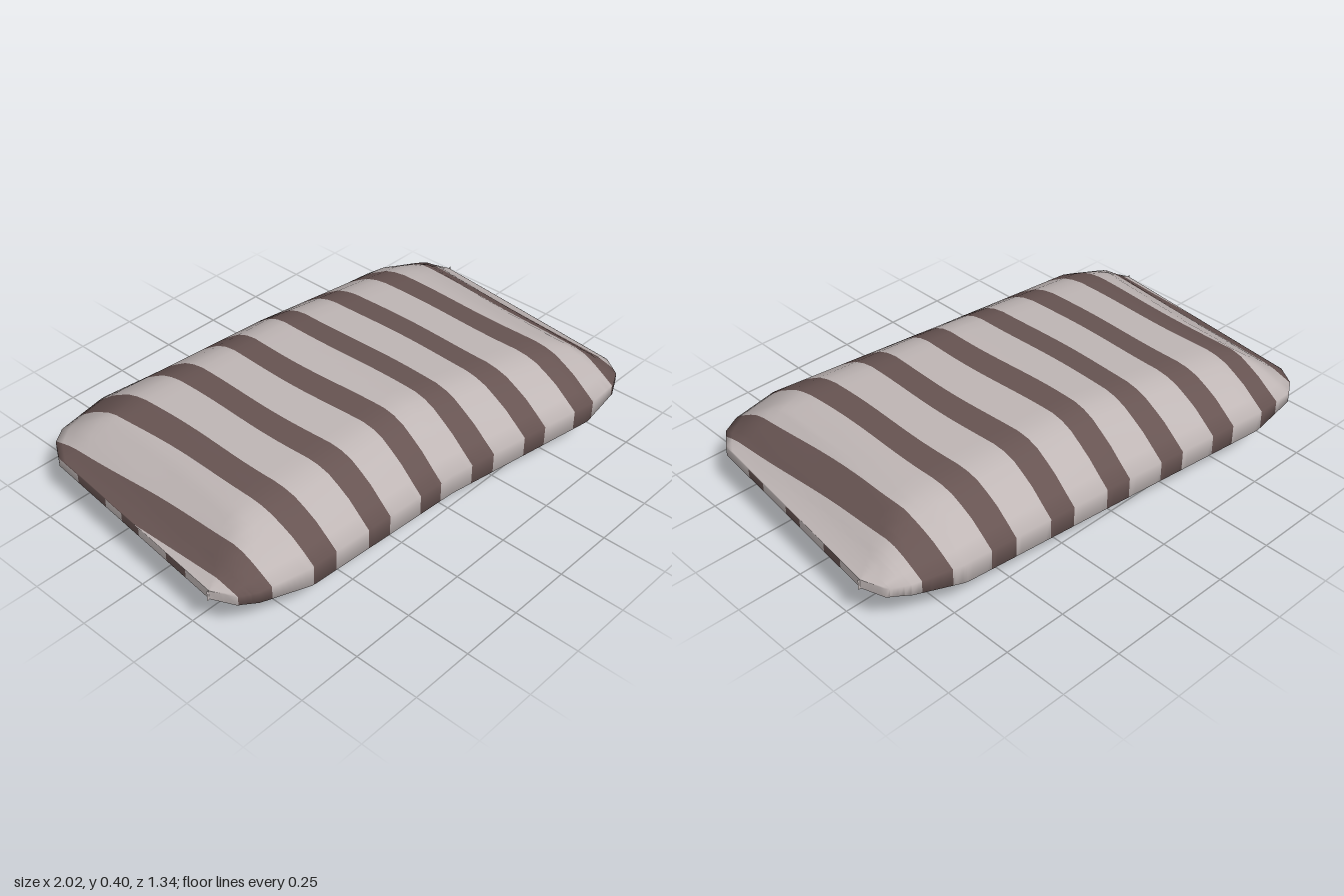
import * as THREE from 'three';

// Piecewise linear lookup through [x, y] points
function lookup(points, x) {
  for (let i = 1; i < points.length; i++) {
    const [x0, y0] = points[i - 1], [x1, y1] = points[i];
    if (x <= x1) return y0 + (y1 - y0) * Math.max(0, (x - x0) / (x1 - x0));
  }
  return points[points.length - 1][1];
}

// Plan outline of the cushion as [x, z], split at its two extreme corners
const FRONT = [[-1, 0.345], [-0.96, 0.43], [-0.9, 0.47], [-0.72, 0.525], [-0.06, 0.56],
  [0.6, 0.665], [0.78, 0.645], [0.85, 0.61], [0.905, 0.53], [1, -0.34]];
const BACK = [[-1, 0.345], [-0.91, -0.53], [-0.86, -0.61], [-0.8, -0.65], [-0.6, -0.67],
  [0.06, -0.6], [0.73, -0.535], [0.9, -0.475], [0.97, -0.43], [1, -0.34]];
const OUTLINE = [...FRONT, ...BACK.slice(1, -1).reverse()];

// Padding: rise by distance from the seam, fullness along the length, seam half height
const RISE = [[0, 0], [0.1, 0.55], [0.2, 0.93], [0.27, 1]];
const FULLNESS = [[0, 0.225], [0.65, 0.18], [0.82, 0.145], [0.965, 0.1]];
const SEAM = [[0, 0.041], [0.65, 0.04], [0.9, 0.018]];
const MID_Y = 0.185, ROWS = 26;

// Stripe layout: across the length, and as dashes on the two end seams
const STRIPE = { first: -0.957, pitch: 0.2465, width: 0.1, count: 8 };
const DASHES = [[-0.43, -0.37], [-0.22, -0.12], [0.03, 0.12], [0.27, 0.37]];

function edgeDistance(x, z) {
  let best = Infinity;
  OUTLINE.forEach(([ax, az], i) => {
    const [bx, bz] = OUTLINE[(i + 1) % OUTLINE.length];
    const dx = bx - ax, dz = bz - az;
    const t = THREE.MathUtils.clamp(((x - ax) * dx + (z - az) * dz) / (dx * dx + dz * dz), 0, 1);
    best = Math.min(best, Math.hypot(x - ax - t * dx, z - az - t * dz));
  });
  return best;
}

const inStripe = (x) => {
  const s = x - STRIPE.first, k = Math.floor(s / STRIPE.pitch);
  return k >= 0 && k < STRIPE.count && s - k * STRIPE.pitch < STRIPE.width;
};
const inDash = (z) => DASHES.some(([a, b]) => z > a && z < b);

// Slice positions: an even grid plus every colour boundary and outline corner
function slicePositions() {
  const xs = [...FRONT, ...BACK].map((p) => p[0]);
  for (let i = -50; i <= 50; i++) xs.push(i / 50);
  for (let i = 0; i < STRIPE.count; i++) {
    const x = STRIPE.first + i * STRIPE.pitch;
    xs.push(x, x + STRIPE.width);
  }
  for (const z of DASHES.flat()) {
    const x = 0.905 + (0.53 - z) / 0.87 * 0.095;
    xs.push(x, -x);
  }
  return [...new Set(xs.map((x) => Math.round(x * 1e4) / 1e4))].sort((a, b) => a - b);
}

export function createModel() {
  const group = new THREE.Group();
  group.name = 'cushion';
  const fabric = new THREE.MeshStandardMaterial({ color: 0xbfb6b5 });
  fabric.name = 'pale fabric';
  const stripe = new THREE.MeshStandardMaterial({ color: 0x675452 });
  stripe.name = 'brown stripe';

  // Upper and lower skins, sharing their rim vertices with the seam band
  const xs = slicePositions(), positions = [];
  for (const side of [1, -1]) {
    for (const x0 of xs) {
      const zb = lookup(BACK, x0), zf = lookup(FRONT, x0);
      for (let j = 0; j <= ROWS; j++) {
        const z = zb + (zf - zb) * j / ROWS;
        const rise = lookup(RISE, edgeDistance(x0, z));
        const x = x0 + rise * 0.006 * Math.sin(8 * z + 5 * x0);
        const u = Math.abs(x + 0.105 * z);
        const seam = lookup(SEAM, u);
        const full = lookup(FULLNESS, u) * (side > 0 ? 1 : 0.8);
        positions.push(x, MID_Y + side * (seam + rise * (full - seam)), z);
      }
    }
  }

  const faces = [[], []];
  const quad = (striped, a, b, c, d) => faces[striped ? 1 : 0].push(a, b, c, a, c, d);
  const top = (i, j) => i * (ROWS + 1) + j;
  const bottom = (i, j) => (xs.length + i) * (ROWS + 1) + j;
  for (let i = 0; i < xs.length - 1; i++) {
    const x = (xs[i] + xs[i + 1]) / 2;
    for (let j = 0; j < ROWS; j++) {
      quad(inStripe(x), top(i, j), top(i, j + 1), top(i + 1, j + 1), top(i + 1, j));
      quad(inStripe(x), bottom(i, j), bottom(i + 1, j), bottom(i + 1, j + 1), bottom(i, j + 1));
    }
    // Seam band, striped along the long sides and dashed at the ends
    const frontDark = x > 0.905 ? inDash(lookup(FRONT, x)) : inStripe(x);
    const backDark = x < -0.91 ? inDash(-lookup(BACK, x)) : inStripe(x);
    quad(frontDark, top(i, ROWS), bottom(i, ROWS), bottom(i + 1, ROWS), top(i + 1, ROWS));
    quad(backDark, top(i, 0), top(i + 1, 0), bottom(i + 1, 0), bottom(i, 0));
  }

  const geometry = new THREE.BufferGeometry();
  geometry.setAttribute('position', new THREE.Float32BufferAttribute(positions, 3));
  geometry.setIndex([...faces[0], ...faces[1]]);
  geometry.addGroup(0, faces[0].length, 0);
  geometry.addGroup(faces[0].length, faces[1].length, 1);
  geometry.computeVertexNormals();

  const cover = new THREE.Mesh(geometry, [fabric, stripe]);
  cover.name = 'stripedCover';
  group.add(cover);
  return group;
}
